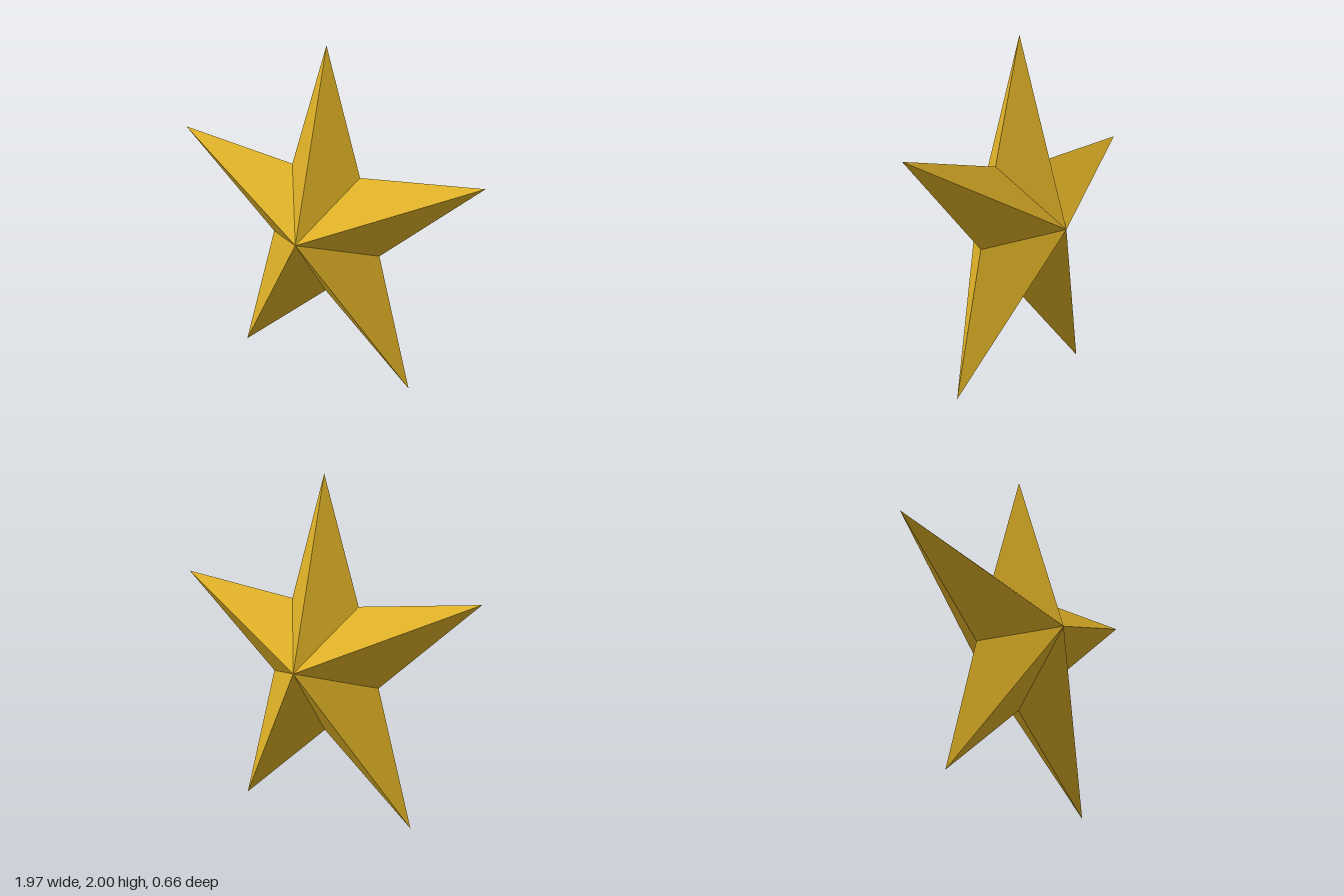
import * as THREE from 'three';

export function createModel() {
  const group = new THREE.Group();
  group.name = 'star';
  const gold = new THREE.MeshStandardMaterial({ color: 0xddb026 });
  gold.name = 'gold';

  // Outline, clockwise from the top: tips alternate with inner corners
  const outline = [
    [0.005, 2], [0.225, 1.268], [0.985, 1.36], [0.358, 0.815], [0.57, 0.005],
    [0, 0.503], [-0.58, 0.01], [-0.36, 0.808], [-0.985, 1.357], [-0.225, 1.265],
  ].map(([x, y]) => new THREE.Vector3(x, y, 0));

  // Each half is a fan of facets from the outline up to a central peak
  function addHalf(name, peak) {
    const points = [];
    outline.forEach((a, i) => {
      const b = outline[(i + 1) % outline.length];
      points.push(peak, ...(peak.z > 0 ? [b, a] : [a, b]));
    });
    const geometry = new THREE.BufferGeometry().setFromPoints(points);
    geometry.computeVertexNormals(); // unshared corners keep the facets flat
    const mesh = new THREE.Mesh(geometry, gold);
    mesh.name = name;
    group.add(mesh);
  }

  addHalf('frontFacets', new THREE.Vector3(0, 0.927, 0.33));
  addHalf('backFacets', new THREE.Vector3(0, 0.915, -0.33));
  return group;
}
